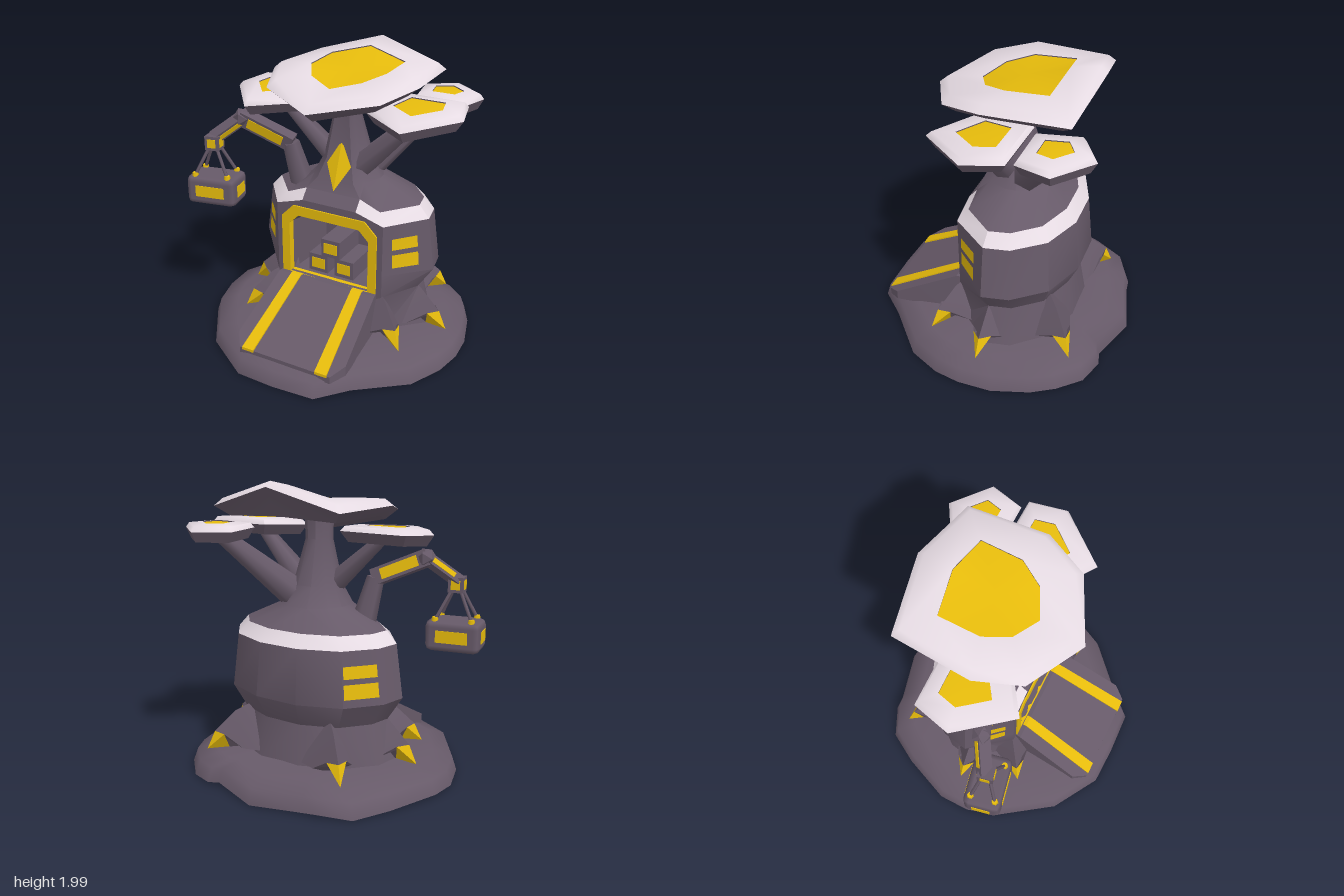
import * as THREE from 'three';
import { toCreasedNormals } from 'three/addons/utils/BufferGeometryUtils.js';
import { RoundedBoxGeometry } from 'three/addons/geometries/RoundedBoxGeometry.js';

const mat = (name, color) => Object.assign(
  new THREE.MeshStandardMaterial({ color, side: THREE.DoubleSide }), { name });
const dark = mat('dark bark', 0x675a69);
const white = mat('pale cap', 0xe6dbe3);
const gold = mat('gold', 0xe8bd0c);

// Skin between closed rings of [x, y, z]; rings run front, +x, back, -x.
// Diagonals flip halfway round so that mirrored rings stay symmetric.
function loft(rings, { capStart = false, capEnd = false, skip = [], crease = 0.6 } = {}) {
  const n = rings[0].length, pos = rings.flat(2), idx = [];
  for (let r = 0; r < rings.length - 1; r++) for (let i = 0; i < n; i++) {
    if (skip.includes(i)) continue;
    const a = r * n + i, b = r * n + (i + 1) % n;
    if (i < n / 2) idx.push(a, b, b + n, a, b + n, a + n);
    else idx.push(a, b, a + n, b, b + n, a + n);
  }
  const cap = (ring, base, flip) => {
    const c = pos.length / 3;
    pos.push(...[0, 1, 2].map(k => ring.reduce((s, p) => s + p[k], 0) / n));
    for (let i = 0; i < n; i++) {
      const a = base + i, b = base + (i + 1) % n;
      idx.push(c, flip ? b : a, flip ? a : b);
    }
  };
  if (capStart) cap(rings[0], 0, true);
  if (capEnd) cap(rings.at(-1), (rings.length - 1) * n, false);
  const g = new THREE.BufferGeometry();
  g.setAttribute('position', new THREE.Float32BufferAttribute(pos, 3));
  g.setIndex(idx);
  return toCreasedNormals(g.toNonIndexed(), crease);
}

function add(parent, name, geo, material, x = 0, y = 0, z = 0) {
  const m = new THREE.Mesh(geo, material);
  m.name = name;
  m.position.set(x, y, z);
  parent.add(m);
  return m;
}

const V = a => new THREE.Vector3(...a);
// Centre a mesh between a and b and point its y axis along them
function along(mesh, a, b) {
  mesh.position.copy(V(a).lerp(V(b), 0.5));
  mesh.quaternion.setFromUnitVectors(new THREE.Vector3(0, 1, 0), V(b).sub(V(a)).normalize());
}
const span = (a, b) => V(a).distanceTo(V(b));
const rod = (p, name, a, b, r0, r1, sides = 6) =>
  along(add(p, name, new THREE.CylinderGeometry(r1, r0, span(a, b), sides), dark), a, b);
const mirrorRing = half => [...half, ...half.filter(p => Math.abs(p[0]) > 1e-6)
  .reverse().map(([x, ...rest]) => [-x, ...rest])];
const shape = pts => new THREE.Shape(pts.map(p => new THREE.Vector2(...p)));

function canopy(parent, name, rim, inset, { lowLimit, drop, bevel }) {
  const g = new THREE.Group();
  g.name = name;
  parent.add(g);
  const n = rim.length, c = [0, 1, 2].map(k => rim.reduce((s, p) => s + p[k], 0) / n);
  const under = (s, d) => rim.map(p => [c[0] + (p[0] - c[0]) * s, Math.min(p[1], lowLimit) - d, c[2] + (p[2] - c[2]) * s]);
  const mid = rim.map((p, i) => p.map((v, k) => v + (inset[i][k] - v) * 0.2 + (k === 1 ? bevel : 0)));
  const sunk = inset.map(([x, y, z]) => [x, y - 0.007, z]);
  add(g, 'canopyUnderside', loft([under(0.3, drop), under(0.84, drop), rim], { capStart: true }), dark);
  add(g, 'canopyTop', loft([rim, mid, inset], { crease: 1.1 }), white);
  add(g, 'canopyLip', loft([inset, sunk]), dark);
  add(g, 'canopyPanel', loft([sunk, sunk.map(p => p.map((v, k) => v * 0.98 + (k === 1 ? c[1] + 0.05 : c[k]) * 0.02))], { capEnd: true }), gold);
  return g;
}

// Body outline [x, z] and its size at each height; the front face stays flat
const outline = mirrorRing([[0.2, 0.2], [0.4, 0.2], [0.655, -0.06], [0.62, -0.24], [0.45, -0.45], [0.16, -0.56]]);
const bodyRing = (y, s) => outline.map(([x, z]) => z === 0.2 ? [x, y, z] : [x * s, y, -0.1 + (z + 0.1) * s]);
const bump = ring => ring.map(([x, y, z], i) => [x, y + (Math.abs(outline[i][0]) === 0.2 ? 0.06 : 0), z]);
const ROWS = [bodyRing(0.16, 0.95), bodyRing(0.44, 0.84), bodyRing(0.6, 1), bump(bodyRing(0.96, 0.925))];

function buildBody(g) {
  add(g, 'body', loft(ROWS, { skip: [0, 10, 11] }), dark);
  const low = ROWS[3];
  const high = low.map(([x, y, z], i) => outline[i][1] === 0.2
    ? [x * (Math.abs(x) < 0.3 ? 1 : 0.87), y + 0.07, 0.14] : [x * 0.88, y + 0.08, -0.1 + (z + 0.1) * 0.83]);
  add(g, 'shoulderBand', loft([low, high], { skip: [11] }), white);
  add(g, 'doorLintel', loft([low, high], { skip: [0, 1, 2, 3, 4, 5, 6, 7, 8, 9, 10] }), dark);
  const round = (y, r, z) => outline.map(([px, pz]) => {
    const a = Math.atan2(px, pz + 0.1);
    return [Math.sin(a) * r, y, z + Math.cos(a) * r];
  });
  add(g, 'trunk', loft([high, round(1.17, 0.24, -0.09), round(1.3, 0.165, -0.08), round(1.6, 0.092, -0.06), round(1.8, 0.1, -0.06)]), dark);
  // Diamond on the trunk
  const d = new THREE.BufferGeometry();
  d.setAttribute('position', new THREE.Float32BufferAttribute([
    0.01, 1.11, 0.152, 0.1, 1.27, 0.075, 0.01, 1.43, 0.036,
    0.01, 1.11, 0.152, 0.01, 1.43, 0.036, -0.08, 1.27, 0.075], 3));
  d.computeVertexNormals();
  add(g, 'trunkDiamond', d, gold);

  // Windows follow the body faces
  const at = (c, u, y) => {
    const mix = (a, b, t) => a.map((q, k) => q + (b[k] - q) * t);
    const d = (c + 1) % 12;
    const p = mix(mix(ROWS[2][c], ROWS[2][d], u), mix(ROWS[3][c], ROWS[3][d], u), (y - 0.6) / 0.36);
    return [p[0] * 1.018, y, -0.1 + (p[2] + 0.1) * 1.018];
  };
  for (const [c, u0, u1] of [[1, 0.18, 0.7], [9, 0.3, 0.82], [7, 0.02, 0.88]])
    for (const [y0, y1] of [[0.655, 0.75], [0.785, 0.865]]) {
      const w = new THREE.BufferGeometry();
      w.setAttribute('position', new THREE.Float32BufferAttribute(
        [at(c, u0, y0), at(c, u1, y0), at(c, u1, y1), at(c, u0, y1)].flat(), 3));
      w.setIndex(c < 6 ? [0, 1, 2, 0, 2, 3] : [0, 1, 3, 1, 2, 3]);
      w.computeVertexNormals();
      add(g, 'window', w, gold);
    }
}

function buildDoor(g) {
  const arch = (w, top, c) => [[-w, 0.46], [w, 0.46], [w, top - c], [w - c, top], [-w + c, top], [-w, top - c]];
  const outer = arch(0.36, 0.97, 0.09), inner = arch(0.3, 0.902, 0.07);
  const wall = shape([[-0.4, 0.16], [0.4, 0.16], [0.4, 0.96], [0.2, 1.02], [-0.2, 1.02], [-0.4, 0.96]]);
  wall.holes.push(shape(outer));
  add(g, 'frontWall', new THREE.ExtrudeGeometry(wall, { depth: 0.04, bevelEnabled: false }), dark, 0, 0, 0.16);
  const frame = shape(outer);
  frame.holes.push(shape(inner));
  add(g, 'doorFrame', new THREE.ExtrudeGeometry(frame, { depth: 0.06, bevelEnabled: false }), gold, 0, 0, 0.15);
  add(g, 'doorRecess', loft([inner.map(p => [...p, 0.16]), arch(0.27, 0.85, 0.07).map(p => [...p, -0.25])], { capEnd: true, crease: 0.2 }), dark);
  // Crates
  for (const [x, y] of [[-0.125, 0.525], [0.075, 0.525], [-0.03, 0.655]]) {
    add(g, 'crate', new THREE.BoxGeometry(0.145, 0.13, 0.28), dark, x, y, -0.02);
    add(g, 'cratePanel', new THREE.BoxGeometry(0.1, 0.075, 0.006), gold, x, y, 0.122);
  }
  // Ramp and its stripes: each section is [left, right, bottom, top, z]
  const slab = sections => loft(sections.map(([l, r, b, t, z]) => [[l, b, z], [r, b, z], [r, t, z], [l, t, z]]),
    { capStart: true, capEnd: true, crease: 0.2 });
  add(g, 'ramp', slab([[-0.36, 0.36, 0.16, 0.46, 0.18], [-0.37, 0.37, 0.16, 0.46, 0.24],
    [-0.405, 0.405, 0.14, 0.209, 0.7], [-0.34, 0.34, 0.11, 0.16, 0.79]]), dark);
  for (const s of [-1, 1]) {
    const a = s * 0.235, b = s * 0.275;
    add(g, 'rampStripe', slab([[a - 0.038, a + 0.038, 0.45, 0.469, 0.215], [a - 0.038, a + 0.038, 0.45, 0.469, 0.24],
      [b - 0.043, b + 0.043, 0.15, 0.169, 0.795]]), gold);
  }
}

function buildRoots(g) {
  for (const s of [-1, 1]) for (const [x, z] of [[0.6, 0.335], [0.77, -0.06], [0.55, -0.63]]) {
    const len = Math.hypot(x, z + 0.1), dx = s * x / len, dz = (z + 0.1) / len;
    // Point at distance d in from the tip, o to the side, height y
    const at = (d, o, y) => [dx * (len - d) + dz * o, y, -0.1 + dz * (len - d) - dx * o];
    const cut = [at(0.15, 0, 0.17), at(0.115, 0.064, 0.285), at(0.055, 0, 0.29), at(0.115, -0.064, 0.285)];
    add(g, 'root', loft([
      [at(0.45, 0, 0.15), at(0.42, 0.22, 0.2), at(0.38, 0, 0.52), at(0.42, -0.22, 0.2)],
      [at(0.26, 0, 0.15), at(0.24, 0.13, 0.2), at(0.2, 0, 0.43), at(0.24, -0.13, 0.2)], cut], { crease: 0.3 }), dark);
    const tip = at(0, 0, 0.165);
    add(g, 'rootClaw', loft([cut, [tip, tip, tip, tip]], { crease: 0.3 }), gold);
  }
}

function buildCrane(g) {
  const elbow = [-0.29, 1.355, 0.05], joint = [-0.62, 1.5, 0.13], hook = [-0.79, 1.36, 0.23];
  rod(g, 'craneBase', [-0.22, 1.02, 0], elbow, 0.085, 0.058);
  for (const [a, b, w, share] of [[elbow, joint, 0.11, 0.65], [joint, hook, 0.065, 0.5]]) {
    const l = span(a, b);
    along(add(g, 'craneArm', new THREE.BoxGeometry(w, l + 0.03, 0.08), dark), a, b);
    along(add(g, 'craneArmPanel', new THREE.BoxGeometry(w * share, l * 0.72, 0.088), gold), a, b);
  }
  add(g, 'craneJoint', new THREE.IcosahedronGeometry(0.068, 0), dark, ...joint);
  // Hanging cargo pod
  const pod = new THREE.Group();
  pod.name = 'cargoPod';
  pod.position.set(-0.787, 0, 0.245);
  pod.rotation.y = 0.2;
  g.add(pod);
  add(pod, 'hookBlock', new THREE.BoxGeometry(0.1, 0.1, 0.1), dark, 0, 1.33, 0);
  add(pod, 'hookPanel', new THREE.BoxGeometry(0.06, 0.06, 0.108), gold, 0, 1.33, 0);
  add(pod, 'hookSidePanel', new THREE.BoxGeometry(0.108, 0.06, 0.06), gold, 0, 1.33, 0);
  add(pod, 'podShell', new RoundedBoxGeometry(0.36, 0.205, 0.245, 1, 0.04), dark, 0, 0.998, 0);
  add(pod, 'podPanel', new THREE.BoxGeometry(0.21, 0.08, 0.253), gold, 0, 1.0, 0);
  add(pod, 'podSidePanel', new THREE.BoxGeometry(0.368, 0.08, 0.12), gold, 0, 1.0, 0);
  for (const x of [-1, 1]) for (const z of [-1, 1]) {
    rod(pod, 'cable', [x * 0.12, 1.1, z * 0.08], [x * 0.025, 1.3, z * 0.025], 0.012, 0.012, 5);
    add(pod, 'cableMount', new THREE.CylinderGeometry(0.02, 0.024, 0.03, 6), gold, x * 0.12, 1.105, z * 0.08);
  }
}

export function createModel() {
  const model = new THREE.Group();
  // Rocky ground, open underneath
  const edge = [[0.05, 0.88], [0.35, 0.87], [0.52, 0.69], [0.82, 0.42], [0.93, 0.2], [0.97, 0.02], [0.95, -0.2], [0.88, -0.45],
    [0.8, -0.6], [0.65, -0.74], [0.48, -0.8], [0.4, -0.78], [0.05, -0.89], [-0.3, -0.8], [-0.4, -0.79], [-0.6, -0.7],
    [-0.73, -0.48], [-0.87, -0.14], [-0.87, 0.08], [-0.8, 0.31], [-0.55, 0.67], [-0.22, 0.87]];
  const level = (s, y, wave = 0) => edge.map(([x, z], i) => [0.05 + (x - 0.05) * s, y + wave * (i % 3), z * s]);
  add(model, 'ground', loft([level(0.86, 0.08), level(0.93, 0.03), level(1, 0.01, 0.01), level(0.965, 0.11, 0.006),
    level(0.82, 0.16), level(0.55, 0.185)], { capEnd: true, crease: 1.25 }), dark);

  const tree = new THREE.Group();
  tree.name = 'treeStation';
  tree.position.x = 0.085;
  model.add(tree);
  buildBody(tree);
  buildDoor(tree);
  buildRoots(tree);

  // Main canopy
  canopy(tree, 'mainCanopy',
    mirrorRing([[0, 1.72, 0.47], [0.4, 1.785, 0.27], [0.525, 1.835, -0.02], [0.485, 1.825, -0.56], [0, 1.965, -0.63]]),
    mirrorRing([[0, 1.805, 0.17], [0.18, 1.845, 0.08], [0.275, 1.88, -0.08], [0.275, 1.895, -0.36], [0, 1.965, -0.4]]),
    { lowLimit: 1.85, drop: 0.065, bevel: 0.034 }).position.x = -0.01;
  // Side and rear canopies
  const front = [[0.03, 0.31], [0.3, -0.02], [0.24, -0.27], [-0.22, -0.28], [-0.31, 0.08]];
  const rear = [[0.18, 0.2], [0.24, -0.03], [0, -0.23], [-0.22, -0.1], [-0.16, 0.2]];
  const small = (name, cx, cz, tilt, inner, shift, pts) => {
    const ring = (s, y, dz) => pts.map(([x, z]) => [cx + x * s, y - z * tilt * s, cz + z * s + dz]);
    canopy(tree, name, ring(1, 1.668, 0), ring(inner, 1.712, shift), { lowLimit: 1.69, drop: 0.07, bevel: 0.024 });
  };
  small('leftCanopy', 0.51, 0, 0.07, 0.51, -0.035, front);
  small('rightCanopy', -0.53, 0, 0.07, 0.51, -0.035, front.map(([x, z]) => [-x, z]).reverse());
  small('rearCanopy', 0.52, -0.5, 0, 0.46, 0.01, rear);
  rod(tree, 'leftBranch', [0.04, 1.18, -0.04], [0.5, 1.62, -0.02], 0.1, 0.045);
  rod(tree, 'rightBranch', [-0.04, 1.24, -0.05], [-0.46, 1.62, -0.02], 0.08, 0.04);
  rod(tree, 'rearBranch', [0.05, 1.15, -0.12], [0.48, 1.62, -0.48], 0.12, 0.055);

  const crane = new THREE.Group();
  crane.name = 'crane';
  model.add(crane);
  buildCrane(crane);
  return model;
}
